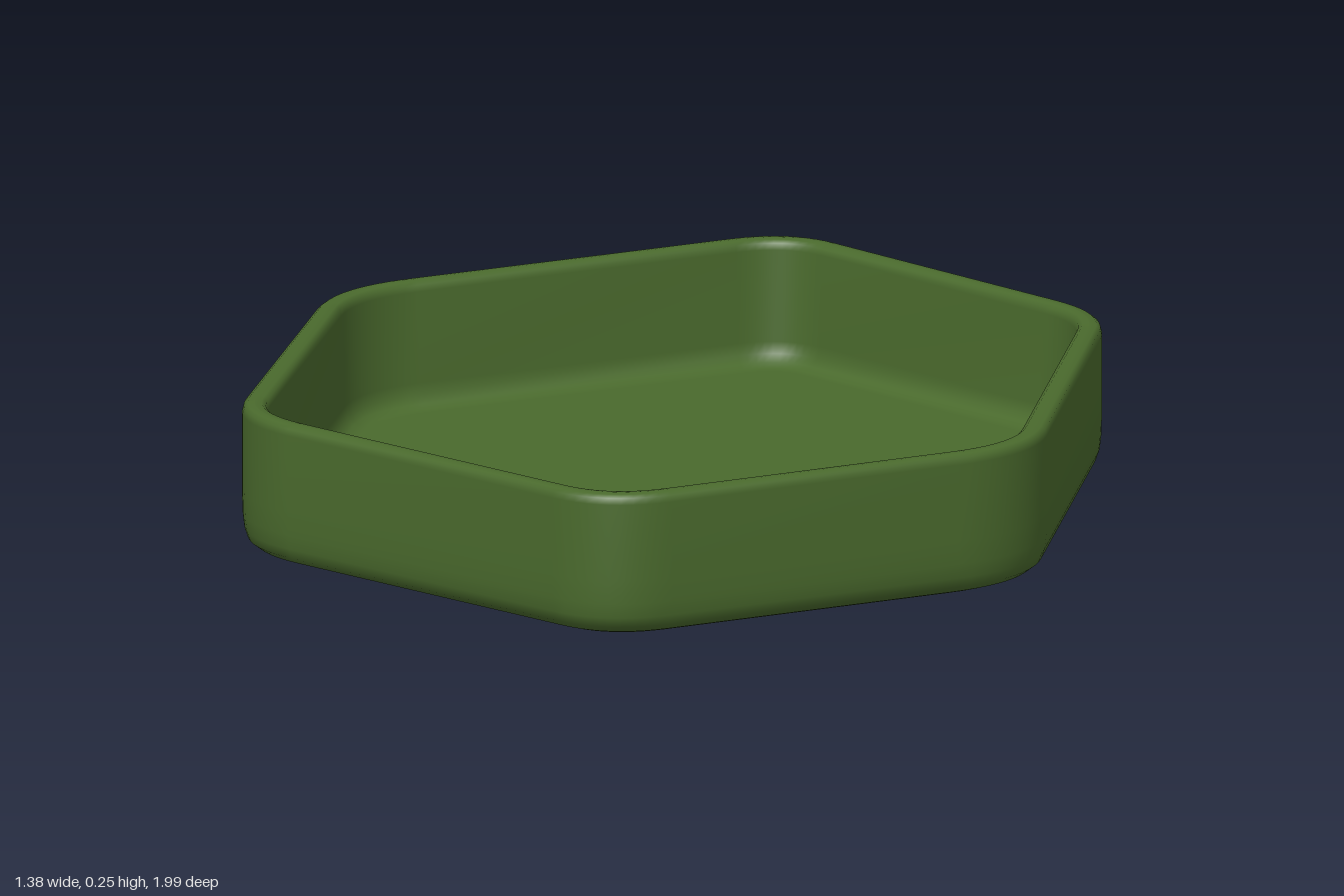
import * as THREE from 'three';

// Slightly irregular hexagon, (x, z), clockwise from above, with corner rounding
const CORNERS = [
  [0, -1.035, 0.12], [0.64, -0.515, 0.13], [0.693, 0.5, 0.15],
  [0.05, 1.037, 0.13], [-0.69, 0.495, 0.14], [-0.69, -0.475, 0.15],
];
const STEPS = 10;

// Rounded outline, inset evenly from the hexagon
function outline(inset) {
  const pts = CORNERS.map(([x, z]) => new THREE.Vector2(x, z));
  const n = pts.length;
  const dir = pts.map((p, i) => pts[(i + 1) % n].clone().sub(p).normalize());
  const moved = pts.map((p, i) => {
    const a = dir[(i + n - 1) % n], b = dir[i];
    const inward = new THREE.Vector2(-a.y - b.y, a.x + b.x);
    return p.clone().addScaledVector(inward, inset / (1 + a.dot(b)));
  });
  const ring = [];
  moved.forEach((p, i) => {
    const cut = CORNERS[i][2] - inset * 0.6;
    const start = p.clone().addScaledVector(dir[(i + n - 1) % n], -cut);
    const end = p.clone().addScaledVector(dir[i], cut);
    ring.push(...new THREE.QuadraticBezierCurve(start, p, end).getPoints(STEPS));
  });
  return ring;
}

// Skin a profile of [inset, height] around the outline; a null inset is the centre
function loft(profile) {
  const count = CORNERS.length * (STEPS + 1);
  const position = [], index = [];
  for (const [inset, y] of profile) {
    const ring = inset === null ? Array(count).fill(new THREE.Vector2()) : outline(inset);
    for (const p of ring) position.push(p.x, y, p.y);
  }
  for (let k = 0; k < profile.length - 1; k++) {
    for (let i = 0; i < count; i++) {
      const j = (i + 1) % count;
      const a = k * count + i, b = k * count + j;
      const c = a + count, d = b + count;
      if (profile[k][0] !== null) index.push(a, c, b);
      if (profile[k + 1][0] !== null) index.push(b, c, d);
    }
  }
  const geometry = new THREE.BufferGeometry();
  geometry.setAttribute('position', new THREE.Float32BufferAttribute(position, 3));
  geometry.setIndex(index);
  geometry.computeVertexNormals();
  return geometry;
}

export function createModel() {
  const green = new THREE.MeshStandardMaterial({ color: 0x4a6a2d });
  green.name = 'mossGreen';
  const tray = new THREE.Group();
  tray.name = 'hexagonalTray';

  const add = (name, profile) => {
    const mesh = new THREE.Mesh(loft(profile), green);
    mesh.name = name;
    tray.add(mesh);
  };

  // Underside, rounded lower edge, outer wall and outer half of the rim
  add('outerShell', [
    [null, 0], [0.06, 0], [0.045, 0.001], [0.025, 0.007], [0.01, 0.018], [0.004, 0.035],
    [0.001, 0.06], [0, 0.1], [0, 0.232], [0.003, 0.243], [0.01, 0.248], [0.022, 0.249],
  ]);
  // Inner half of the rim, inner wall and filleted floor
  add('innerBasin', [
    [0.022, 0.249], [0.034, 0.248], [0.041, 0.243], [0.044, 0.232], [0.05, 0.075],
    [0.054, 0.055], [0.064, 0.042], [0.08, 0.036], [0.095, 0.035], [null, 0.035],
  ]);
  return tray;
}
